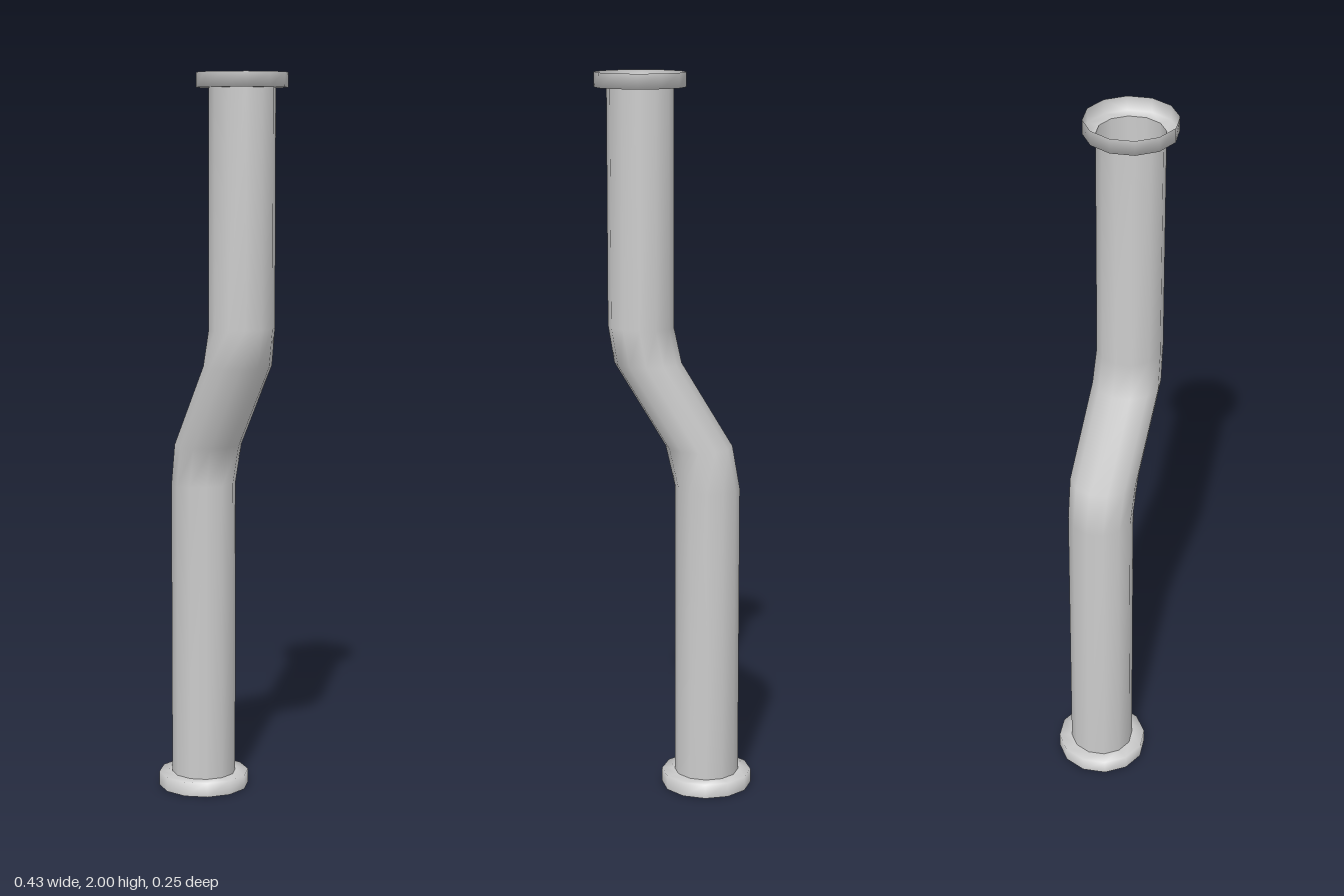
import * as THREE from 'three';

const SIDES = 12;
const material = new THREE.MeshStandardMaterial({ color: 0xcccccc, side: THREE.DoubleSide });

// Smooth open skin through rings given bottom to top as [centreX, y, radiusX, radiusZ, tilt]
function loft(name, rings) {
  const positions = [], index = [];
  rings.forEach(([cx, y, rx, rz, tilt = 0], r) => {
    for (let i = 0; i < SIDES; i++) {
      const a = (i / SIDES) * Math.PI * 2;
      positions.push(cx + rx * Math.cos(a), y + tilt * Math.cos(a), rz * Math.sin(a));
      if (r === rings.length - 1) continue;
      const p = r * SIDES + i, q = r * SIDES + (i + 1) % SIDES;
      index.push(p, p + SIDES, q, q, p + SIDES, q + SIDES);
    }
  });
  const geometry = new THREE.BufferGeometry();
  geometry.setAttribute('position', new THREE.Float32BufferAttribute(positions, 3));
  geometry.setIndex(index);
  geometry.computeVertexNormals();
  const mesh = new THREE.Mesh(geometry, material);
  mesh.name = name;
  return mesh;
}

export function createModel() {
  const group = new THREE.Group();
  group.name = 'offsetPipe';
  const low = -0.09, high = 0.092, r = 0.09;

  // Hollow pipe with a sideways jog
  group.add(loft('pipe', [
    [low, 0.04, r, r],
    [low, 0.87, r, r, 0.005],
    [-0.067, 0.985, 0.092, 0.094],
    [0.073, 1.217, 0.092, 0.094],
    [high, 1.318, r, r, 0.003],
    [high, 1.96, r, r],
  ]));

  // Open cup-shaped collars at both ends
  group.add(loft('bottomCollar', [
    [low, 0, 0.126, 0.127],
    [low, 0.04, 0.126, 0.127],
    [low, 0.04, r, r],
  ]));
  group.add(loft('topCollar', [
    [high, 1.96, r, r],
    [high, 1.96, 0.123, 0.123],
    [high, 2, 0.123, 0.123],
  ]));
  return group;
}
